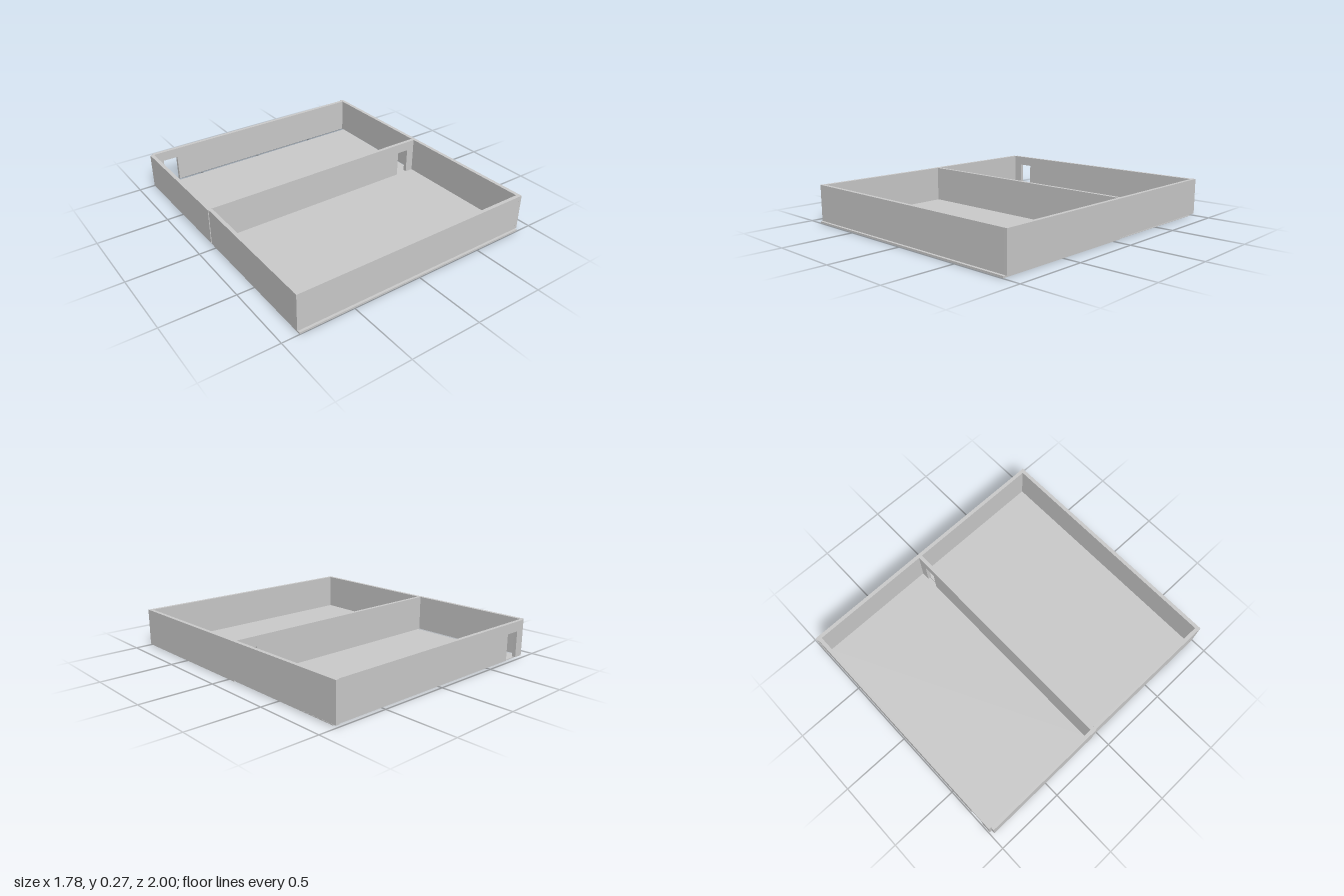
import * as THREE from 'three';

const BASE = 0.015, TOP = 0.27, DOOR_TOP = 0.2, THICK = 0.026;

export function createModel() {
  const model = new THREE.Group();
  const material = new THREE.MeshStandardMaterial({ color: 0xcccccc, flatShading: true });

  function add(name, geometry) {
    const mesh = new THREE.Mesh(geometry, material);
    mesh.name = name;
    model.add(mesh);
    return mesh;
  }

  // Upright wall along a centre line from (x0, z0) to (x1, z1);
  // door = [start, end] measured along the wall from its first end
  function wall(name, x0, z0, x1, z1, door) {
    const length = Math.hypot(x1 - x0, z1 - z0);
    const outline = new THREE.Shape();
    outline.moveTo(0, BASE);
    if (door) {
      outline.lineTo(door[0], BASE);
      outline.lineTo(door[0], DOOR_TOP);
      outline.lineTo(door[1], DOOR_TOP);
      outline.lineTo(door[1], BASE);
    }
    outline.lineTo(length, BASE);
    outline.lineTo(length, TOP);
    outline.lineTo(0, TOP);
    const geometry = new THREE.ExtrudeGeometry(outline, { depth: THICK, bevelEnabled: false });
    geometry.translate(0, 0, -THICK / 2);
    const mesh = add(name, geometry);
    mesh.position.set(x0, 0, z0);
    mesh.rotation.y = -Math.atan2(z1 - z0, x1 - x0);
  }

  // Thin floor slab between two corners
  function floor(name, x0, x1, y0, y1, z0, z1) {
    const geometry = new THREE.BoxGeometry(x1 - x0, y1 - y0, z1 - z0);
    geometry.translate((x0 + x1) / 2, (y0 + y1) / 2, (z0 + z1) / 2);
    add(name, geometry);
  }

  // Outer walls, the long sides very slightly out of square
  wall('frontWall', -0.887, 0.971, 0.868, 0.971);
  wall('backWall', -0.868, -0.979, 0.856, -0.979, [0.068, 0.178]);
  wall('rightSideWall', 0.868, -1, 0.879, 0.984);
  wall('leftSideWallBack', -0.88, -0.975, -0.876, -0.05);
  wall('leftSideWallFront', -0.871, -0.05, -0.873, 0.958);

  // Dividing wall with its own doorway at the opposite end
  wall('dividingWall', -0.863, -0.066, 0.862, -0.066, [1.573, 1.663]);

  // Room floors
  floor('frontFloor', -0.882, 0.88, 0.002, 0.014, -0.06, 1);
  floor('backFloor', -0.872, 0.868, 0, 0.005, -0.963, -0.06);

  return model;
}
